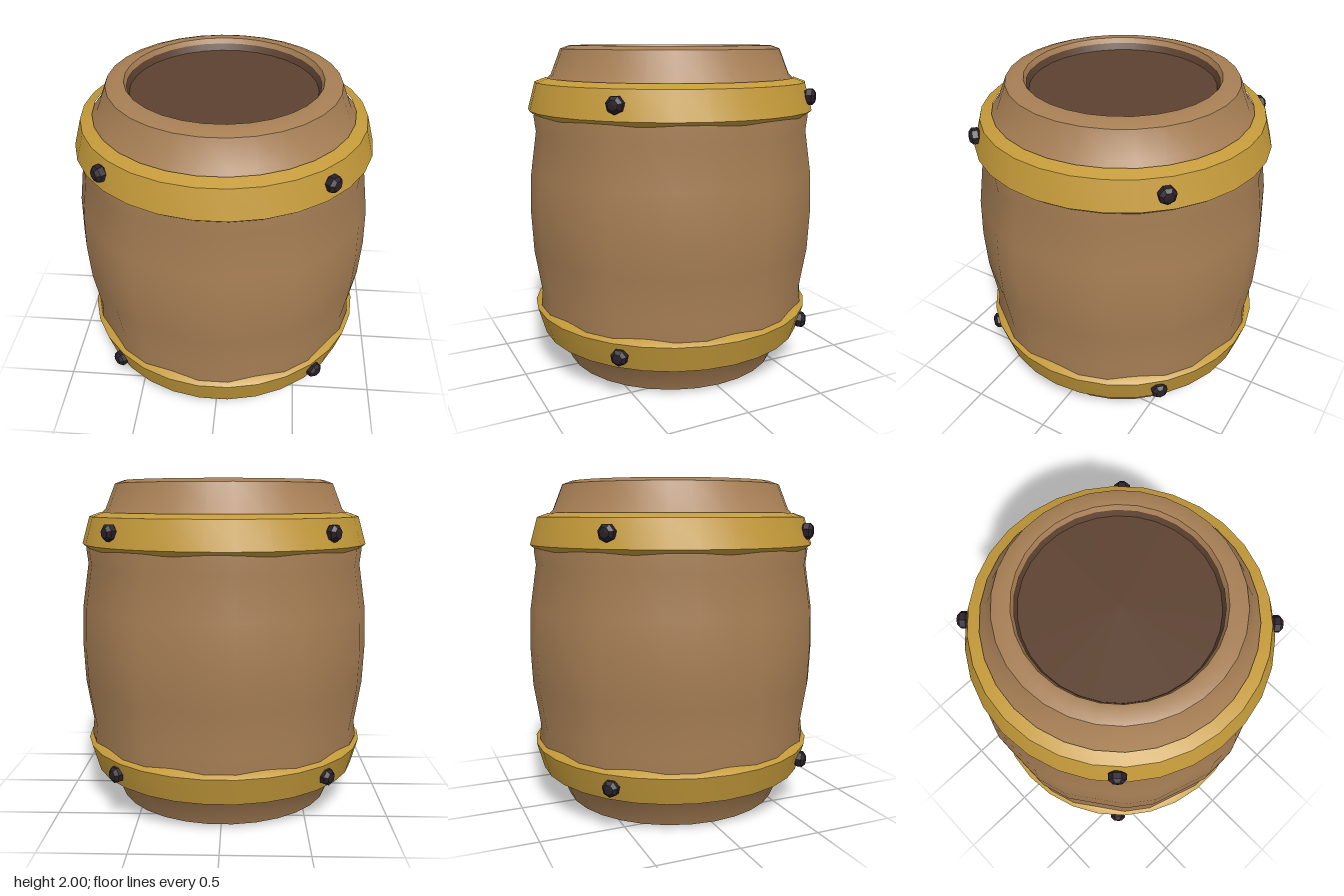
import * as THREE from 'three';
import { toCreasedNormals } from 'three/addons/utils/BufferGeometryUtils.js';

const SIDES = 30;
const START = Math.PI / 30;

const material = (name, color) => {
  const m = new THREE.MeshStandardMaterial({ color });
  m.name = name;
  return m;
};

// Revolve [radius, height] points listed from bottom to top for an outward surface
const lathe = (points) => new THREE.LatheGeometry(
  points.map(([r, y]) => new THREE.Vector2(r, y)), SIDES, START);

export function createModel() {
  const wood = material('wood', 0xa67e54);
  const darkWood = material('dark wood', 0x5c4130);
  const brass = material('brass', 0xc49a3a);
  const iron = material('dark iron', 0x2a2029);

  const group = new THREE.Group();
  group.name = 'barrel';
  const add = (name, geometry, mat, parent = group) => {
    const mesh = new THREE.Mesh(geometry, mat);
    mesh.name = name;
    parent.add(mesh);
    return mesh;
  };

  // Bulging body, mirrored about its middle, with the open rim on top
  const upper = [
    [0.89, 1.24], [0.85, 1.5], [0.86, 1.59], [0.85, 1.64],
    [0.775, 1.79], [0.735, 1.83], [0.675, 1.98], [0.62, 2],
  ];
  const lower = upper.map(([r, y]) => [r, 2 - y]).reverse();
  const bodyShape = lathe([...lower, [0.9, 1], ...upper, [0.57, 2], [0.555, 1.97]]);

  // Flatten every third column so broad and narrow staves alternate
  const pos = bodyShape.attributes.position;
  for (let i = 0; i < pos.count; i++) {
    const x = pos.getX(i), z = pos.getZ(i);
    const column = Math.round(Math.atan2(z, x) / (Math.PI / 15)) + 30;
    if (column % 3 === 0 && Math.abs(pos.getY(i) - 1) < 0.66) {
      const s = Math.cos(Math.PI / 15);
      pos.setX(i, x * s);
      pos.setZ(i, z * s);
    }
  }
  add('body', toCreasedNormals(bodyShape, 0.62), wood);

  // Recessed lid with its short inner wall, and the base
  add('innerWall', lathe([[0.54, 1.925], [0.565, 1.985]].reverse()), darkWood);
  const disc = (r) => new THREE.CircleGeometry(r, SIDES, START);
  const lid = add('lid', disc(0.55), darkWood);
  lid.rotation.x = -Math.PI / 2;
  lid.position.y = 1.93;
  const base = add('base', disc(0.625), darkWood);
  base.rotation.x = Math.PI / 2;

  // Hoops with bevelled edges; the lower one mirrors the upper
  const hoop = [[0.82, 1.585], [0.845, 1.59], [0.882, 1.62], [0.835, 1.785], [0.765, 1.81]];
  add('upperHoop', toCreasedNormals(lathe(hoop), 0.5), brass);
  add('lowerHoop', toCreasedNormals(
    lathe(hoop.map(([r, y]) => [r, 2 - y]).reverse()), 0.5), brass);

  // Faceted rivets at the four diagonals of each hoop
  const rivetShape = new THREE.LatheGeometry([
    [0.03, -0.04], [0.05, -0.02], [0.05, 0.012], [0.03, 0.03], [0, 0.033],
  ].map(([r, y]) => new THREE.Vector2(r, y)), 7).toNonIndexed();
  rivetShape.computeVertexNormals();
  rivetShape.rotateX(Math.PI / 2);
  iron.flatShading = true;
  for (const y of [0.3, 1.705]) {
    for (let i = 0; i < 4; i++) {
      const a = Math.PI / 4 + i * Math.PI / 2;
      const rivet = add('rivet', rivetShape, iron);
      rivet.position.set(Math.sin(a) * 0.875, y, Math.cos(a) * 0.875);
      rivet.rotation.y = a;
    }
  }

  return group;
}
